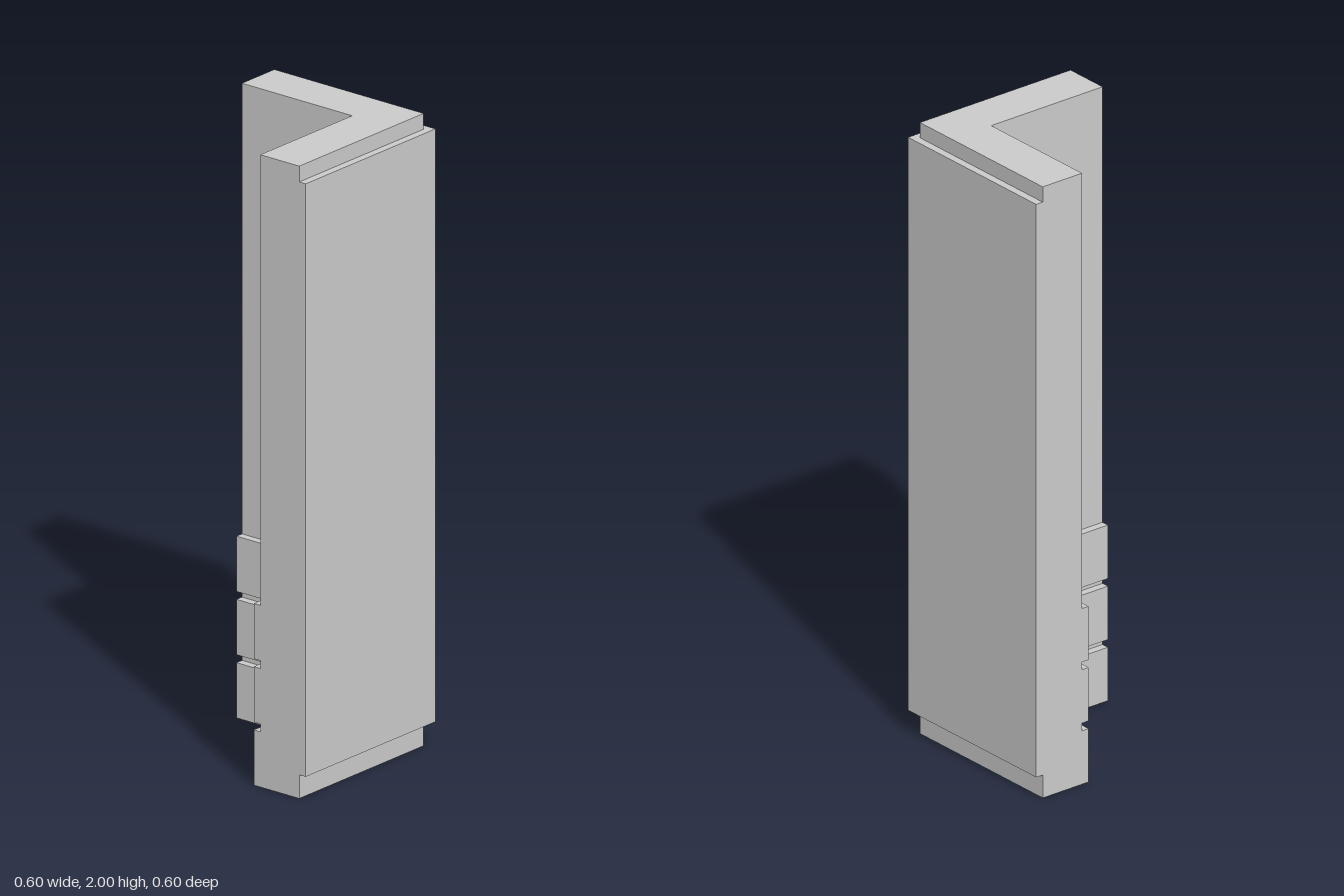
import * as THREE from 'three';

const END = 0.3;      // free ends of both wings
const INNER = 0.125;  // inner wall faces
const CORE = 0.275;   // outer faces of the core
const BRICK = 0.025;  // brick relief and mortar gap
const ROW = 0.175;    // brick height

export function createModel() {
  const group = new THREE.Group();
  const material = new THREE.MeshStandardMaterial({ color: 0xcccccc, flatShading: true });

  const add = (name, geometry) => {
    const mesh = new THREE.Mesh(geometry, material);
    mesh.name = name;
    group.add(mesh);
  };

  // L-shaped plan between an inner and an outer offset, raised from y0 to y1
  const corner = (inner, outer, y0, y1) => {
    const points = [
      [-END, inner], [inner, inner], [inner, -END],
      [outer, -END], [outer, outer], [-END, outer],
    ].map(([x, y]) => new THREE.Vector2(x, y));
    const geometry = new THREE.ExtrudeGeometry(new THREE.Shape(points), { depth: y1 - y0, bevelEnabled: false });
    return geometry.rotateX(-Math.PI / 2).translate(0, y0, 0);
  };

  const block = (x0, x1, y0, y1, z0, z1) =>
    new THREE.BoxGeometry(x1 - x0, y1 - y0, z1 - z0)
      .translate((x0 + x1) / 2, (y0 + y1) / 2, (z0 + z1) / 2);

  // Wall core and the raised cladding on its two outer faces
  add('cornerWall', corner(INNER, CORE, 0, 2));
  add('outerCladding', corner(CORE, END, 0.075, 1.95));

  // Brick spans along x (back wing) and along z (side wing), in alternating courses
  const backSpans = [
    [[-0.3, -0.2], [-0.175, 0.05], [0.075, 0.125]],
    [[-0.3, -0.125], [-0.1, 0.125]],
  ];
  const sideSpans = [
    [[-0.075, 0.15], [0.175, 0.3]],
    [[-0.075, 0.05], [0.075, 0.3]],
  ];
  for (let row = 0; row < 3; row++) {
    const y0 = row * (ROW + BRICK);
    const y1 = y0 + ROW;
    for (const [a, b] of backSpans[row % 2]) {
      add('backWingBrick', block(a, b, y0, y1, -INNER, -INNER + BRICK));
    }
    for (const [a, b] of sideSpans[row % 2]) {
      add('sideWingBrick', block(INNER - BRICK, INNER, y0, y1, a, b));
    }
  }
  return group;
}
